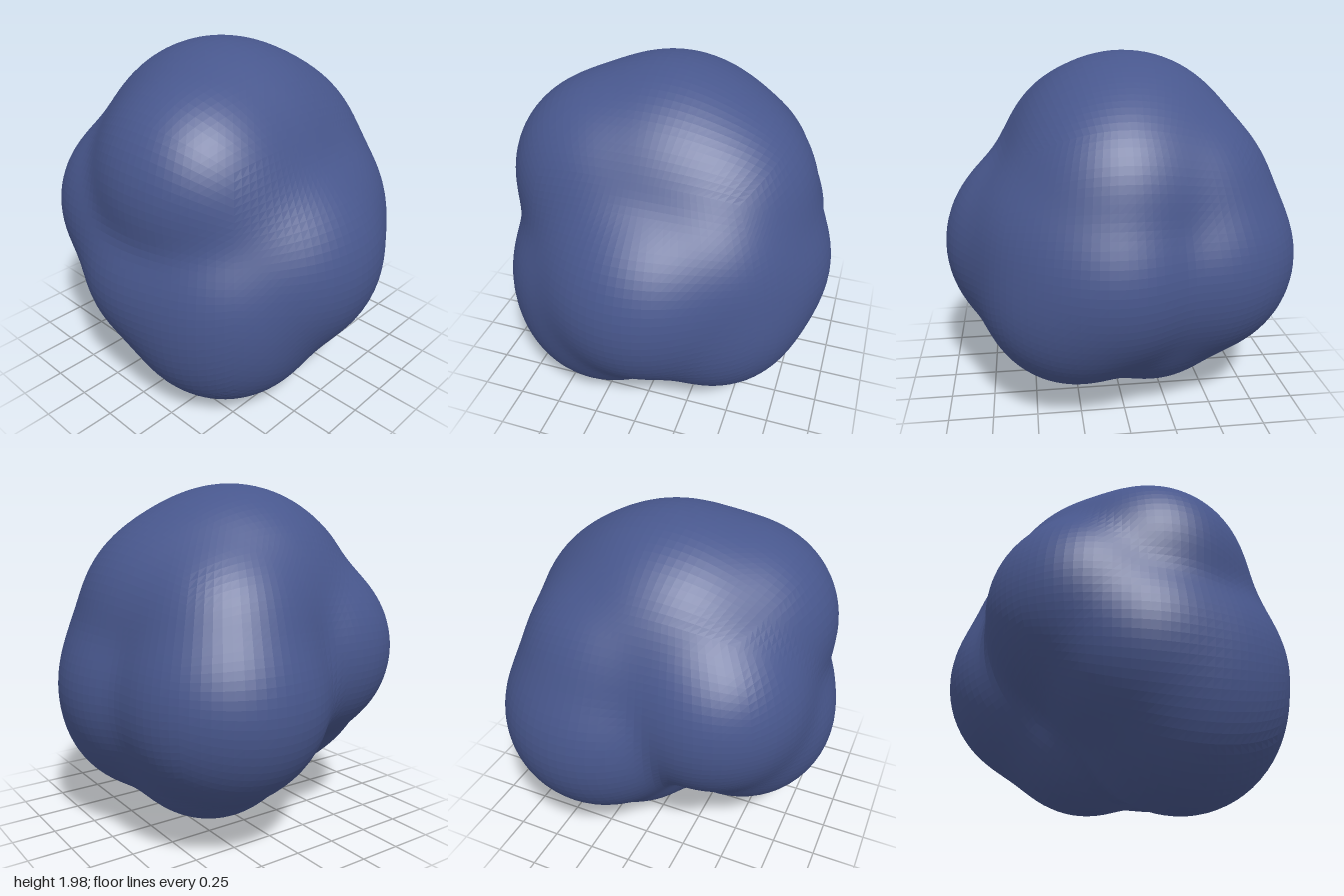
import * as THREE from 'three';

// Overlapping lobes that swell out of the core: x, y, z, radius
const LOBES = [
  [-0.02, 1.3, -0.06, 0.69],   // top
  [-0.34, 1.34, 0.08, 0.55],   // upper right
  [0.25, 1.25, 0.02, 0.585],   // upper left
  [0.22, 1.2, -0.35, 0.51],    // upper back
  [-0.03, 0.88, 0.4, 0.595],   // front
  [0.25, 0.99, 0.25, 0.56],    // front left shoulder
  [-0.2, 1.1, 0.2, 0.56],      // front right shoulder
  [0.27, 0.87, -0.42, 0.575],  // back left
  [-0.34, 1.06, -0.3, 0.54],   // back right
  [0.4, 0.87, 0.06, 0.555],    // left
  [-0.41, 0.8, -0.01, 0.545],  // right
  [-0.34, 0.78, 0.28, 0.53],   // lower right cheek
  [0.33, 0.7, 0.26, 0.525],    // lower left cheek
  [-0.3, 0.58, 0.24, 0.57],    // lower front right
  [0.2, 0.6, -0.17, 0.505],    // lower back left
].map(([x, y, z, r]) => ({ c: new THREE.Vector3(x, y - 1, z), r }));

const BLEND = 0.05;

// Distance from the core to the outside of the lobes, softly blended in the creases
function reach(dir) {
  const hits = LOBES.map(({ c, r }) => {
    const along = dir.dot(c);
    return along + Math.sqrt(along * along - c.lengthSq() + r * r);
  });
  const far = Math.max(...hits);
  return far + BLEND * Math.log(hits.reduce((s, h) => s + Math.exp((h - far) / BLEND), 0));
}

export function createModel() {
  const group = new THREE.Group();
  group.name = 'lumpyBoulder';

  // Even cube-sphere grid pushed out to the lobes
  const geometry = new THREE.BoxGeometry(2, 2, 2, 32, 32, 32);
  const pos = geometry.attributes.position;
  const dir = new THREE.Vector3();
  const even = (v) => Math.tan(v * Math.PI / 4);
  for (let i = 0; i < pos.count; i++) {
    dir.set(even(pos.getX(i)), even(pos.getY(i)), even(pos.getZ(i))).normalize();
    dir.multiplyScalar(reach(dir));
    pos.setXYZ(i, dir.x, dir.y, dir.z);
  }

  // Centre it and rest it on the ground
  geometry.center();
  geometry.computeBoundingBox();
  geometry.translate(0, -geometry.boundingBox.min.y, 0);
  geometry.computeVertexNormals();

  const material = new THREE.MeshStandardMaterial({ color: 0x48578d, flatShading: true });
  const body = new THREE.Mesh(geometry, material);
  body.name = 'boulderBody';
  group.add(body);
  return group;
}
